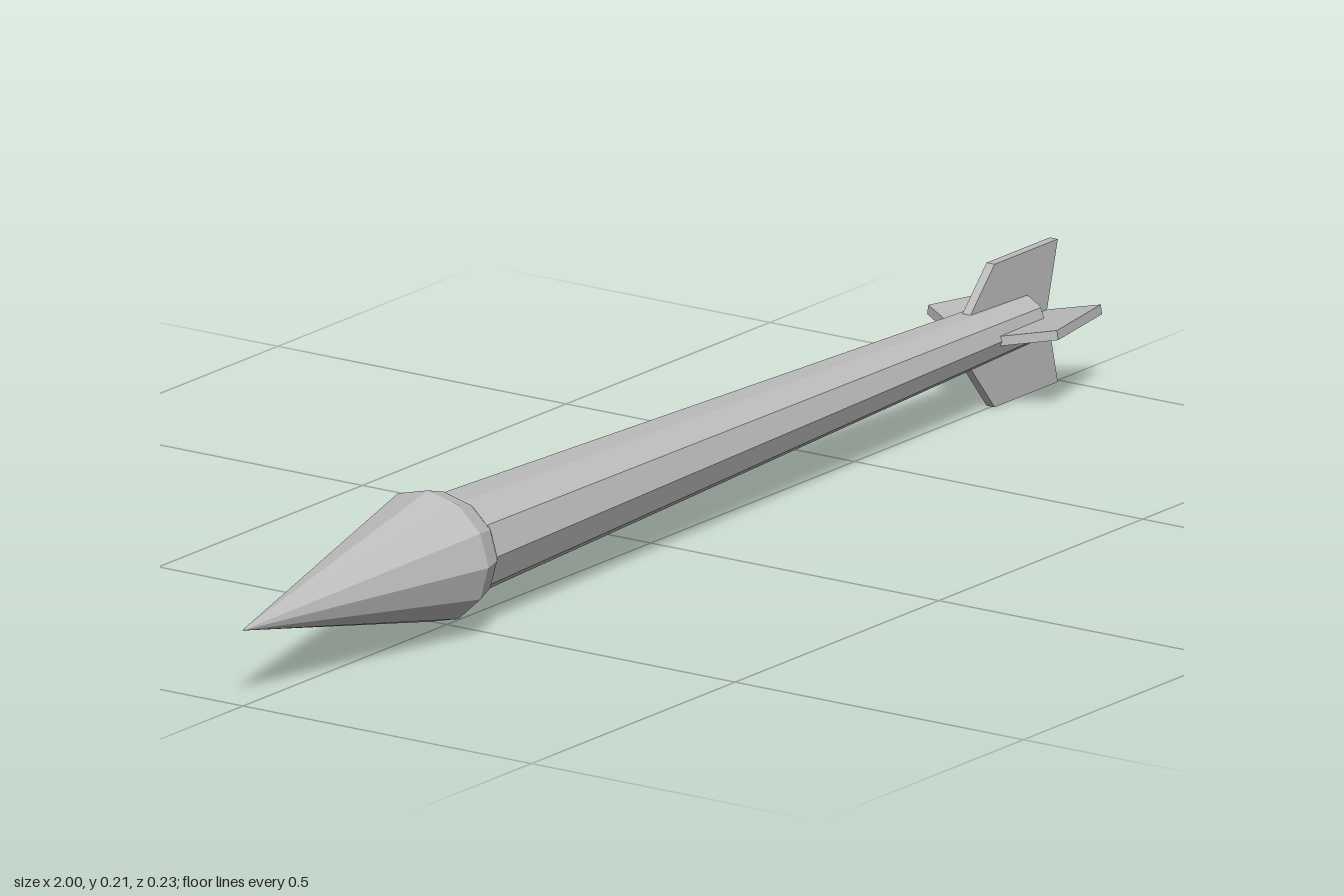
import * as THREE from 'three';

export function createModel() {
  const model = new THREE.Group();
  model.name = 'dart';
  const grey = new THREE.MeshStandardMaterial({ color: 0xbcbcbc, flatShading: true });
  grey.name = 'plain grey';
  const axisY = 0.111;

  const add = (geometry, name) => {
    const mesh = new THREE.Mesh(geometry, grey);
    mesh.name = name;
    mesh.position.set(0, axisY, -0.002);
    model.add(mesh);
    return mesh;
  };

  // Faceted body turned around the long x axis; profile points are [x, radius]
  const turned = (profile, sides, name) => {
    const points = profile.map(([x, r]) => new THREE.Vector2(r, x));
    const geometry = new THREE.LatheGeometry(points, sides);
    geometry.rotateZ(-Math.PI / 2);
    geometry.scale(1, 1, 1.08);
    add(geometry, name);
  };

  // Pointed head with a short tapered rim behind its widest ring
  turned([[-1, 0], [-0.543, 0.097], [-0.505, 0.086], [-0.495, 0.08], [-0.495, 0]], 12, 'head');

  // Tapering shaft with a small blunt cone at the tail
  turned([[-0.51, 0], [-0.51, 0.077], [0.915, 0.037], [0.96, 0]], 10, 'shaft');

  // Flat fins with swept leading edges; outline points are [x, distance from axis]
  const fin = (outline, angle, name) => {
    const shape = new THREE.Shape(outline.map(([x, h]) => new THREE.Vector2(x, h)));
    const geometry = new THREE.ExtrudeGeometry(shape, { depth: 0.014, bevelEnabled: false });
    geometry.translate(0, 0, -0.007);
    geometry.rotateX(angle);
    return add(geometry, name);
  };
  const upright = (tip) => [[0.773, 0], [0.965, 0], [0.992, tip], [0.837, tip], [0.773, 0.034]];
  fin(upright(0.1), 0, 'topFin');
  fin(upright(0.111), Math.PI, 'bottomFin');

  // Side fins lift slightly towards their tips
  const side = [[0.79, 0], [0.962, 0], [1, 0.078], [0.842, 0.114], [0.8, 0.036]];
  for (const s of [1, -1]) {
    const mesh = fin(side, s * THREE.MathUtils.degToRad(81), s > 0 ? 'frontFin' : 'backFin');
    mesh.position.y = 0.105;
  }
  return model;
}
